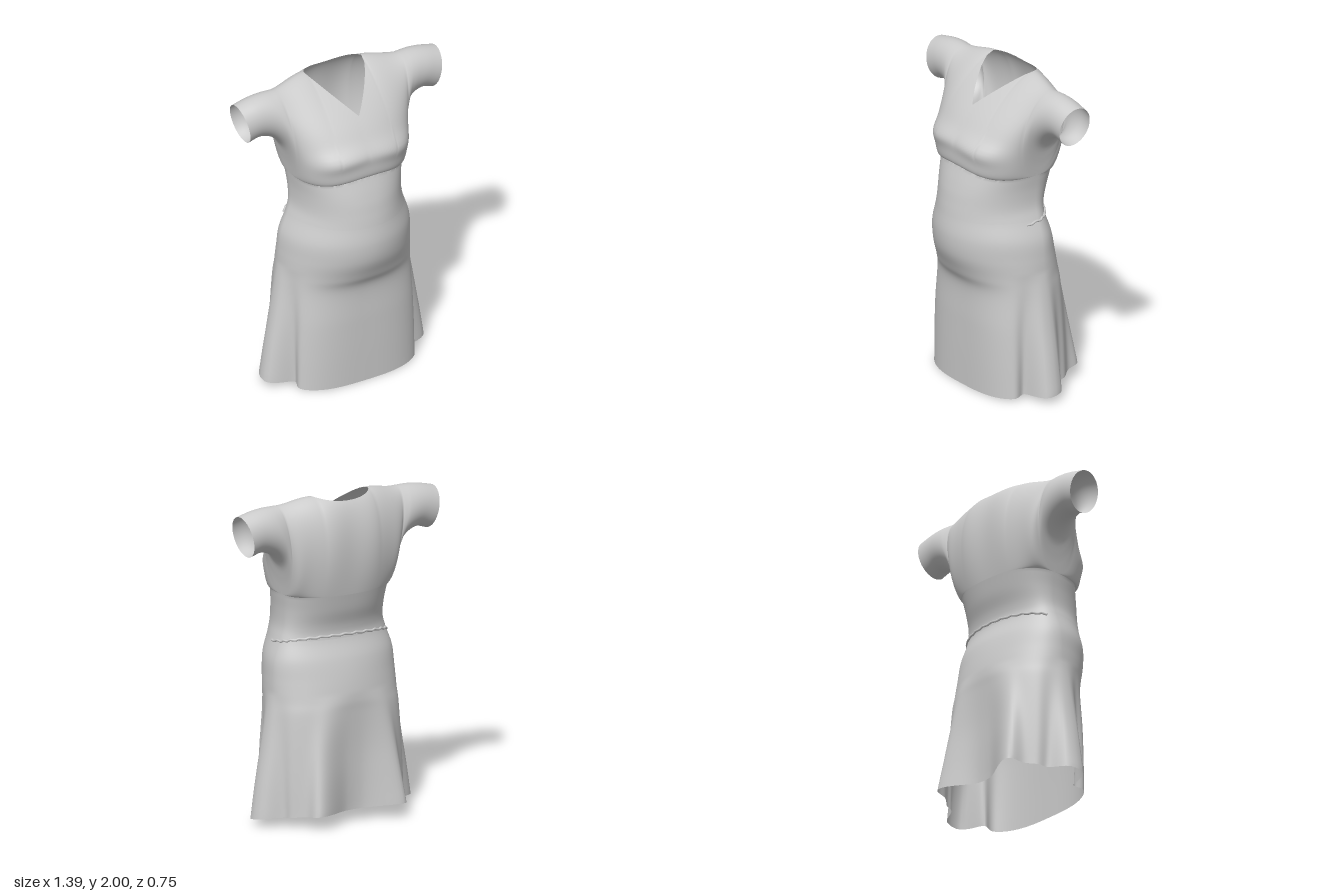
import * as THREE from 'three';
import { mergeGeometries, mergeVertices } from 'three/addons/utils/BufferGeometryUtils.js';

const { lerp, clamp, smoothstep, degToRad } = THREE.MathUtils;
const N = 36;   // bodice columns from the centre to the side seam
const M = 20;   // columns from the side seam to the sleeve opening

// Grid of nu x nv cells; u runs right and v runs up as seen from outside.
function grid(nu, nv, fn) {
  const pos = [], index = [];
  for (let j = 0; j <= nv; j++)
    for (let i = 0; i <= nu; i++) pos.push(...fn(i / nu, j / nv));
  for (let j = 0; j < nv; j++)
    for (let i = 0; i < nu; i++) {
      const a = j * (nu + 1) + i, b = a + 1, c = b + nu + 1, d = a + nu + 1;
      index.push(a, b, c, a, c, d);
    }
  const g = new THREE.BufferGeometry();
  g.setAttribute('position', new THREE.Float32BufferAttribute(pos, 3));
  g.setIndex(index);
  return g;
}

function weld(parts) {
  const g = mergeVertices(mergeGeometries(parts), 1e-4);
  g.computeVertexNormals();
  return g;
}

// Body rings from under the bust to the hem: y, half width, front z, back z, squareness
const RINGS = [
  [1.40, .355, .290, -.270, 2.4], [1.30, .345, .330, -.245, 2.2],
  [1.20, .347, .350, -.212, 2.1], [1.12, .370, .362, -.210, 2.0],
  [1.00, .413, .376, -.255, 1.95], [0.88, .425, .362, -.285, 1.95],
  [0.76, .430, .312, -.303, 2.1], [0.66, .435, .268, -.305, 2.4],
  [0.45, .445, .262, -.310, 2.7], [0.25, .455, .257, -.320, 2.8],
  [0.04, .460, .250, -.330, 2.9],
];
const LAST = RINGS.length - 1, WAIST = 3, ZC = -.04;
const sizeCurve = new THREE.CatmullRomCurve3(
  RINGS.map(r => new THREE.Vector3(r[1], r[0], r[2])), false, 'catmullrom');
const backCurve = new THREE.CatmullRomCurve3(
  RINGS.map(r => new THREE.Vector3(r[3], r[4], 0)), false, 'catmullrom');

// Skirt folds: angle from the front, amount, spread in degrees
const FOLDS = [[70, -.12, 9], [89, .215, 10], [108, -.06, 10], [128, -.03, 12], [157, .24, 11], [180, -.18, 12]];

// Point on the body at angle a (0 front, 90 left side) and ring number t
function body(a, t) {
  const p = sizeCurve.getPoint(t / LAST), q = backCurve.getPoint(t / LAST);
  const s = Math.sin(a), c = Math.cos(a), pw = 2 / q.y;
  let x = p.x * Math.sign(s) * Math.abs(s) ** pw;
  let z = (c > 0 ? p.z - ZC : ZC - q.x) * Math.sign(c) * Math.abs(c) ** pw;
  const k = clamp((.8 - p.y) / .75, 0, 1);
  const deg = Math.acos(clamp(c, -1, 1)) * 180 / Math.PI;
  let f = 1;
  for (const [at, amount, spread] of FOLDS) f += k * amount * Math.exp(-(((deg - at) / spread) ** 2));
  x *= f;
  z = ZC + z * f;
  // the crease under the bust arches up in the middle; the hem rises toward the back
  const arch = .035 * Math.max(0, 1 - t) * Math.exp(-((deg / 30) ** 2));
  return [x, p.y + arch - k * .14 * (z + .03), z];
}

// Sleeve underside and shoulder line, from side seam to sleeve opening
const line = pts => new THREE.CatmullRomCurve3(pts.map(p => new THREE.Vector3(...p)));
const under = line([[.355, 1.4, ZC], [.373, 1.5, -.06], [.403, 1.6, -.08],
  [.47, 1.67, -.09], [.56, 1.70, -.09], [.64, 1.68, -.09]]);
const over = line([[.43, 1.967, -.09], [.46, 1.967, -.09], [.50, 1.967, -.09],
  [.55, 1.964, -.09], [.61, 1.955, -.09], [.695, 1.935, -.09]]);
const NECK = body(degToRad(30), 0)[0];

// Point on the bodice: column s (-1..1 between sleeve ends), height v, front or back
function bodice(s, v, front) {
  const col = Math.abs(s) * (N + M), side = Math.sign(s);
  const rSeam = front ? .155 : .14;
  let b, t, r, vMax = 1, blade = 0, flat = 0, soft = 0, bust = 0;
  if (col <= N + 1e-6) {
    const f = Math.min(col / N, 1), a = f * Math.PI / 2;
    b = body(front ? a : Math.PI - a, 0);
    const n = b[0] / NECK, out = clamp((f - 1 / 3) * 1.5, 0, 1);
    t = [n < 1 ? b[0] : lerp(NECK, .43, out), 2 - .033 * smoothstep(out, 0, 1), lerp(-.13, -.09, out)];
    r = rSeam;
    if (n < .999) {   // V neckline in front, shallow scoop behind
      const yNeck = front ? 1.79 + .21 * n : 1.968 + .032 * n * n;
      vMax = Math.acos(1 - 2 * (yNeck - b[1]) / (2 - b[1])) / Math.PI;
      if (!front) t[2] -= .045 * (1 - n * n);
    }
    if (front) {      // rounded underside and fullness of the bust
      soft = .45 * Math.cos(a);
      bust = .03 * Math.cos(a) * (.7 + .6 * Math.sin(2 * a));
    } else {          // shoulder blades, shallower along the spine
      flat = 1 - Math.sin(a) ** 6;
      blade = lerp(.2, .27, smoothstep(n, 0, 1));
    }
  } else {
    const f = (col - N) / M;
    b = under.getPoint(f).toArray();
    t = over.getPoint(f).toArray();
    r = lerp(rSeam, .11, Math.sin(f * Math.PI / 2) ** 1.5);
  }
  const w = v * vMax * Math.PI, e = (1 - Math.cos(w)) / 2;
  const round = r * Math.sin(w) * (1 - soft * (1 - e) ** 4) + bust * Math.exp(-(((e - .27) / .1) ** 2));
  const bulge = lerp(round, blade * e * Math.cos(w / 2), flat);
  return [side * lerp(b[0], t[0], e), lerp(b[1], t[1], e),
    lerp(b[2], t[2], e) + (front ? bulge : -bulge)];
}

export function createModel() {
  const group = new THREE.Group();
  const cloth = new THREE.MeshStandardMaterial({ color: 0xcccccc, side: THREE.DoubleSide });
  const add = (name, geometry) => {
    const mesh = new THREE.Mesh(geometry, cloth);
    mesh.name = name;
    group.add(mesh);
  };
  const wrap = (t0, t1, rows) => grid(4 * N, rows, (u, v) => body(u * 2 * Math.PI, lerp(t1, t0, v)));

  // Bodice with sleeves, down to the waist
  add('bodice', weld([
    grid(2 * (N + M), 36, (u, v) => bodice(2 * u - 1, v, true)),
    grid(2 * (N + M), 36, (u, v) => bodice(1 - 2 * u, v, false)),
    wrap(0, WAIST, 16),
  ]));

  // Flared skirt with folds at the sides and back
  add('skirt', weld([wrap(WAIST, LAST, 50)]));

  // Gathered waist seam around the back
  const seam = [];
  for (let i = 0; i <= 40; i++) {
    const f = i / 40, a = degToRad(lerp(78, 250, f));
    const [x, y, z] = body(a, WAIST + .15 - .4 * Math.sin(Math.PI * f) + .04 * Math.sin(i * 2.1));
    seam.push(new THREE.Vector3(x * 1.01, y, z * 1.01));
  }
  add('waistSeam', new THREE.TubeGeometry(new THREE.CatmullRomCurve3(seam), 120, .008, 6));
  return group;
}
